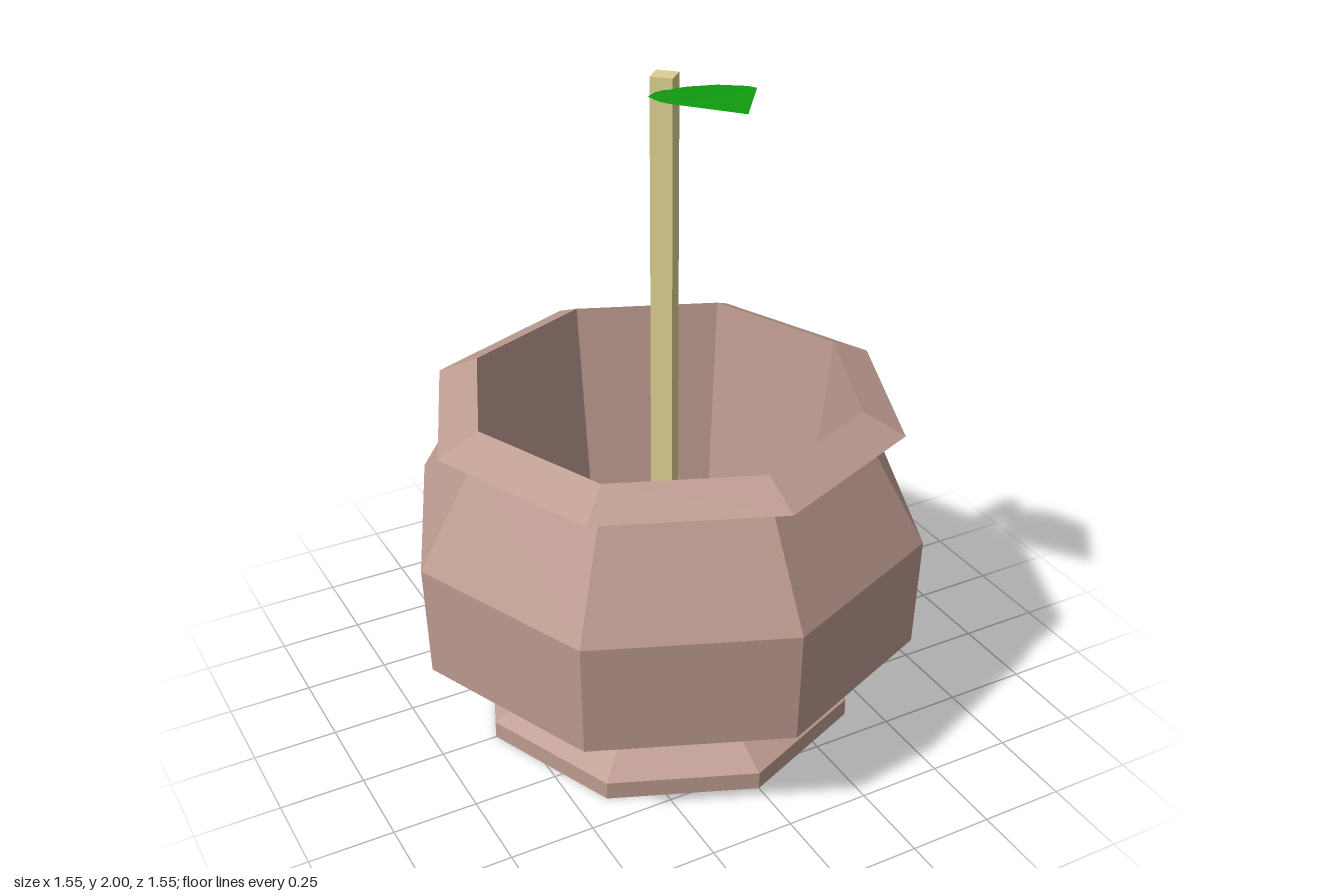
import * as THREE from 'three';

const material = (name, color, side = THREE.FrontSide) =>
  Object.assign(new THREE.MeshStandardMaterial({ color, flatShading: true, side }), { name });

export function createModel() {
  const clay = material('clay', 0xbd9b90);
  const wood = material('stem tan', 0xdbcf8f);
  const green = material('leaf green', 0x109c10, THREE.DoubleSide);

  const group = new THREE.Group();
  const add = (name, geometry, mat) => {
    const mesh = new THREE.Mesh(geometry, mat);
    mesh.name = name;
    group.add(mesh);
    return mesh;
  };

  // Eight-sided pot: foot, belly, flared rim, then down the inside to the floor
  const profile = [
    [0, 0], [0.578, 0], [0.578, 0.055], [0.46, 0.113], [0.763, 0.317],
    [0.775, 0.66], [0.605, 0.96], [0.703, 1.0], [0.58, 1.058],
    [0.475, 0.2], [0, 0.2],
  ].map(([r, y]) => new THREE.Vector2(r, y));
  add('pot', new THREE.LatheGeometry(profile, 8), clay);

  // Square stem standing on the pot floor
  const bottom = 0.2, top = 1.98;
  const stem = add('stem', new THREE.CylinderGeometry(0.045, 0.045, top - bottom, 4), wood);
  stem.position.y = (top + bottom) / 2;

  // Leaf cross-sections: half width, edge y, edge z, middle y, middle z
  const rows = [
    [0, 1.945, 0.02, 1.945, 0.02],
    [0.05, 1.95, 0.04, 1.95, 0.04],
    [0.103, 1.964, 0.1, 1.964, 0.1],
    [0.13, 1.988, 0.21, 1.99, 0.22],
    [0.13, 1.996, 0.255, 1.998, 0.28],
    [0, 2, 0.43, 2, 0.43],
  ];
  const positions = [], index = [];
  rows.forEach(([w, ey, ez, my, mz], i) => {
    positions.push(-w, ey, ez, 0, my, mz, w, ey, ez);
    if (i === 0) return;
    for (let j = 0; j < 2; j++) {
      const a = (i - 1) * 3 + j, b = i * 3 + j;
      index.push(a, b, a + 1, b, b + 1, a + 1);
    }
  });
  const leaf = new THREE.BufferGeometry();
  leaf.setAttribute('position', new THREE.Float32BufferAttribute(positions, 3));
  leaf.setIndex(index);
  leaf.computeVertexNormals();
  add('leaf', leaf, green);

  return group;
}
